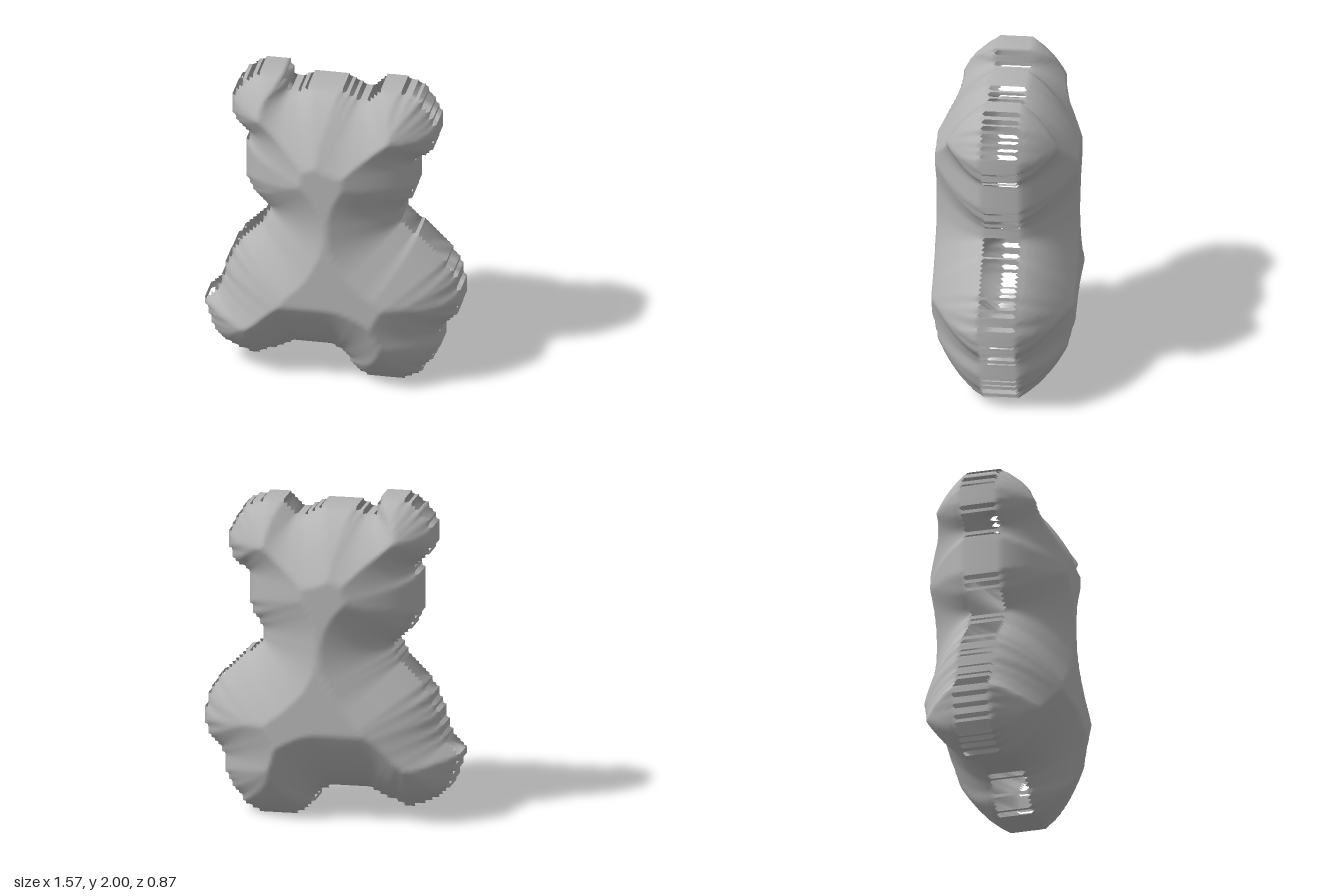
import * as THREE from 'three';

// Outline of the bear, clockwise pairs of x, y starting at its right ear
const OUTLINE = [
  [-.3, 2.01], [-.45, 2.005], [-.54, 1.95], [-.6, 1.87], [-.635, 1.78], [-.61, 1.67], [-.53, 1.58],
  [-.535, 1.52], [-.55, 1.45], [-.55, 1.35], [-.52, 1.24], [-.47, 1.16], [-.405, 1.1], [-.415, 1.05],
  [-.48, .95], [-.58, .85], [-.64, .74], [-.67, .66], [-.7, .54], [-.76, .47], [-.795, .42],
  [-.765, .3], [-.71, .19], [-.6, .11], [-.47, .08], [-.33, .13], [-.22, .18], [-.06, .18], [.06, .15],
  [.12, .06], [.22, -.005], [.33, -.01], [.44, -.005], [.53, .04], [.62, .15], [.67, .26], [.69, .39],
  [.74, .42], [.78, .5], [.795, .6], [.76, .74], [.68, .86], [.59, .95], [.5, 1.03], [.425, 1.12],
  [.46, 1.18], [.5, 1.25], [.52, 1.35], [.525, 1.5], [.6, 1.54], [.64, 1.63], [.645, 1.73], [.6, 1.83],
  [.54, 1.91], [.46, 1.95], [.36, 1.975], [.28, 1.95], [.24, 1.9], [.13, 1.9], [.1, 1.93], [0, 1.95],
  [-.12, 1.95], [-.18, 1.92], [-.25, 1.9],
];

const STEP = 1 / 47;       // spacing of the grid
const PLATEAU = .41;       // distance from the rim where the belly turns flat
const HALF_DEPTH = .435;
const NX = 40, NY = 97;    // grid reaches one cell past the outline

function insideTest() {
  const curve = new THREE.CatmullRomCurve3(OUTLINE.map(([x, y]) => new THREE.Vector3(x, y, 0)), true);
  const poly = curve.getPoints(400);
  return (x, y) => {
    let hit = false;
    for (let i = 0, j = poly.length - 1; i < poly.length; j = i++) {
      const a = poly[i], b = poly[j];
      if ((a.y > y) !== (b.y > y) && x < a.x + (b.x - a.x) * (y - a.y) / (b.y - a.y)) hit = !hit;
    }
    return hit;
  };
}

function inflatedGeometry() {
  const test = insideTest();
  const key = (i, j) => (j + 3) * 200 + i + 100;
  const filled = new Set();
  for (let j = -2; j <= NY; j++)
    for (let i = -NX; i <= NX; i++)
      if (test(i * STEP, j * STEP)) filled.add(key(i, j));
  const has = (i, j) => filled.has(key(i, j));

  // empty cells that touch the filled shape
  const border = [];
  for (let j = -2; j <= NY; j++)
    for (let i = -NX; i <= NX; i++)
      if (!has(i, j) && (has(i + 1, j) || has(i - 1, j) || has(i, j + 1) || has(i, j - 1))) border.push([i, j]);

  // front and back points, thicker with distance from the rim
  const positions = [], index = [], front = new Map();
  for (let j = -2; j <= NY; j++)
    for (let i = -NX; i <= NX; i++) {
      if (!has(i, j)) continue;
      let d2 = Infinity;
      for (const [bi, bj] of border) d2 = Math.min(d2, (bi - i) ** 2 + (bj - j) ** 2);
      const d = Math.sqrt(d2) * STEP;
      const z = HALF_DEPTH * Math.sqrt(Math.min(1, d / PLATEAU));
      front.set(key(i, j), positions.length / 3);
      positions.push(i * STEP, j * STEP, z, i * STEP, j * STEP, -z);
    }
  const F = (i, j) => front.get(key(i, j));
  const quad = (a, b, c, d) => index.push(a, b, c, a, c, d);

  for (let j = -2; j < NY; j++)
    for (let i = -NX; i < NX; i++) {
      if (!has(i, j)) continue;
      // front and back skins
      if (has(i + 1, j) && has(i, j + 1) && has(i + 1, j + 1)) {
        const a = F(i, j), b = F(i + 1, j), c = F(i + 1, j + 1), d = F(i, j + 1);
        quad(a, b, c, d);
        quad(d + 1, c + 1, b + 1, a + 1);
      }
      // rim walls along straight runs, leaving slots at the steps
      if (has(i + 1, j)) {
        const a = F(i, j), b = F(i + 1, j);
        if (!has(i, j + 1) && !has(i + 1, j + 1)) quad(a, b, b + 1, a + 1);
        if (!has(i, j - 1) && !has(i + 1, j - 1)) quad(a + 1, b + 1, b, a);
      }
      if (has(i, j + 1)) {
        const a = F(i, j), b = F(i, j + 1);
        if (!has(i + 1, j) && !has(i + 1, j + 1)) quad(a, a + 1, b + 1, b);
        if (!has(i - 1, j) && !has(i - 1, j + 1)) quad(b, b + 1, a + 1, a);
      }
    }

  const geometry = new THREE.BufferGeometry();
  geometry.setAttribute('position', new THREE.Float32BufferAttribute(positions, 3));
  geometry.setIndex(index);
  geometry.computeVertexNormals();
  return geometry;
}

export function createModel() {
  const grey = new THREE.MeshStandardMaterial({ color: 0xb4b4b4, side: THREE.DoubleSide });
  grey.name = 'grey';
  const body = new THREE.Mesh(inflatedGeometry(), grey);
  body.name = 'bearBody';
  const group = new THREE.Group();
  group.name = 'inflatedBear';
  group.add(body);
  return group;
}
